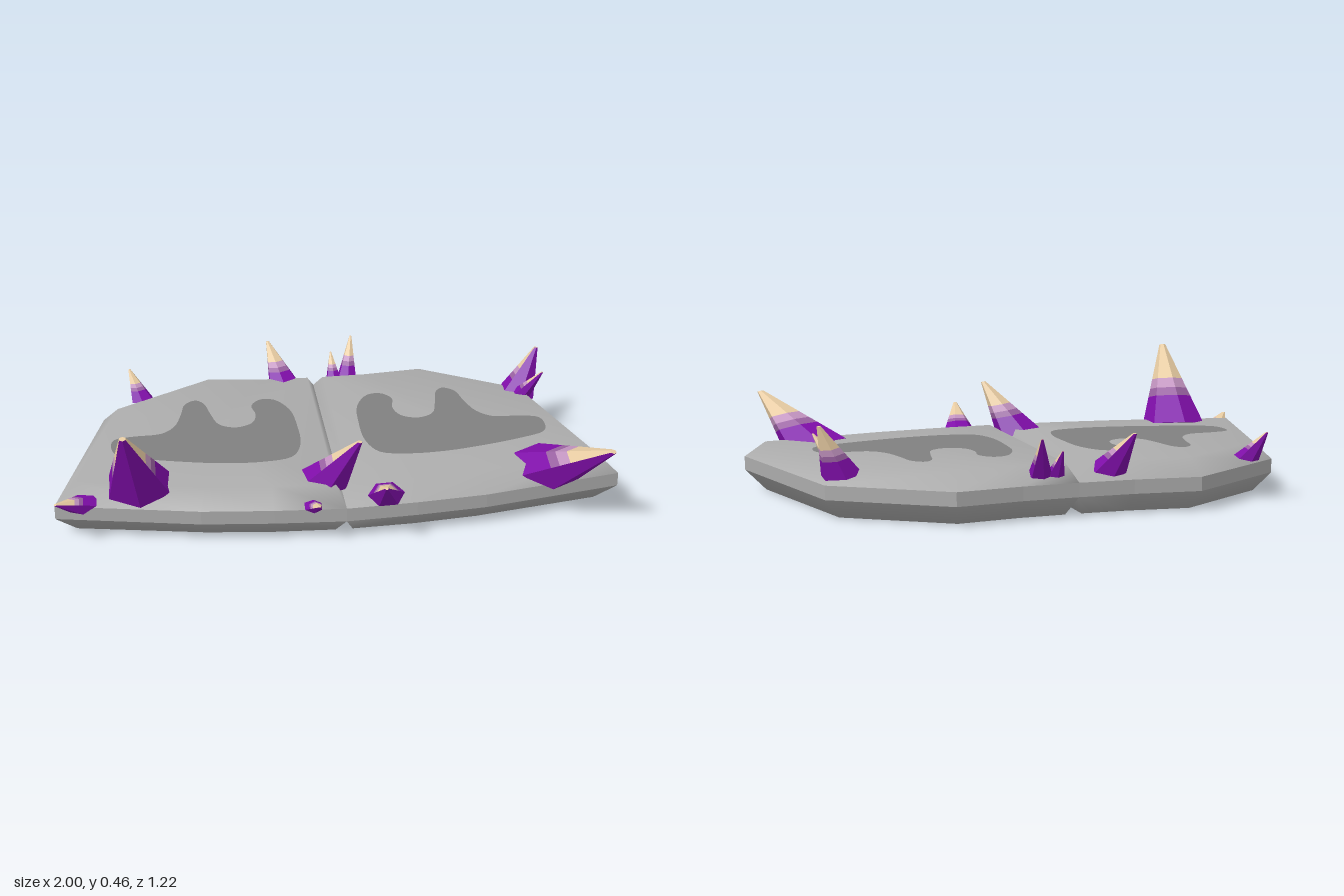
import * as THREE from 'three';
import { mergeGeometries } from 'three/addons/utils/BufferGeometryUtils.js';

const mat = (name, color) => {
  const m = new THREE.MeshStandardMaterial({ color });
  m.name = name;
  return m;
};

// Half outline of the slab (x, z), from front centre round to back centre
const RIM = [[0, 0.49], [0.25, 0.475], [0.5, 0.45], [1, 0.35], [0.83, -0.31], [0.44, -0.56], [0.2, -0.535], [0, -0.53]];
const INSET = [[0.03, 0.42], [0.25, 0.41], [0.48, 0.385], [0.93, 0.3], [0.775, -0.275], [0.42, -0.5], [0.2, -0.475], [0.03, -0.47]];
const N = RIM.length;

// Band between two rings, optionally closed by a fan at the top or bottom ring
function band(lower, yLow, upper, yUp, s, cap) {
  const pos = [], idx = [];
  const tri = (a, b, c) => (s > 0 ? idx.push(a, b, c) : idx.push(a, c, b));
  lower.forEach(([x, z]) => pos.push(x * s, yLow, z));
  upper.forEach(([x, z]) => pos.push(x * s, yUp, z));
  pos.push(0.45 * s, cap === 'top' ? yUp : yLow, -0.05);
  for (let i = 0; i < N; i++) {
    const j = (i + 1) % N;
    if (cap || j) {
      tri(i, j, N + j);
      tri(i, N + j, N + i);
    }
    if (cap === 'top') tri(N + i, N + j, 2 * N);
    if (cap === 'bottom') tri(j, i, 2 * N);
  }
  const g = new THREE.BufferGeometry();
  g.setAttribute('position', new THREE.Float32BufferAttribute(pos, 3));
  g.setIndex(idx);
  // Capped bands blend softly into the cap; the rim stays faceted
  if (cap) g.computeVertexNormals();
  const flat = g.toNonIndexed();
  if (!cap) flat.computeVertexNormals();
  return flat;
}

function slabHalf(s) {
  return mergeGeometries([
    band(INSET, 0, RIM, 0.07, s, 'bottom'),
    band(RIM, 0.07, RIM, 0.12, s),
    band(RIM, 0.12, INSET, 0.18, s, 'top'),
  ]);
}

// Dark inlay with finger-like lobes (x, z)
const INLAY = [
  [0.8, 0.06], [0.79, -0.01], [0.72, -0.03], [0.62, -0.04], [0.57, -0.09], [0.54, -0.19], [0.52, -0.28],
  [0.48, -0.31], [0.45, -0.28], [0.43, -0.19], [0.4, -0.09], [0.34, -0.06], [0.28, -0.09], [0.26, -0.16],
  [0.27, -0.24], [0.23, -0.29], [0.18, -0.28], [0.13, -0.19], [0.115, -0.05], [0.12, 0.11], [0.16, 0.2],
  [0.26, 0.225], [0.4, 0.22], [0.55, 0.19], [0.69, 0.15], [0.78, 0.11],
];

function inlayFace(s) {
  const curve = new THREE.CatmullRomCurve3(INLAY.map(([x, z]) => new THREE.Vector3(x * s, -z, 0)), true);
  const shape = new THREE.Shape(curve.getPoints(104).map((p) => new THREE.Vector2(p.x, p.y)));
  const g = new THREE.ShapeGeometry(shape);
  g.rotateX(-Math.PI / 2);
  g.translate(0, 0.182, 0);
  return g;
}

// Six-sided leaning crystal: plain on one side, colour bands on the other faces
const STEPS = [0, 0.34, 0.44, 0.56, 1];
function crystalGeometry(base, tip, radius, { spin = 0, plainSide = Math.sign(tip[2] - base[2]) } = {}) {
  const b = new THREE.Vector3(...base), t = new THREE.Vector3(...tip);
  const n = t.clone().sub(b).normalize().add(new THREE.Vector3(0, 2.2, 0)).normalize();
  const u = new THREE.Vector3(1, 0, 0);
  u.addScaledVector(n, -u.dot(n)).normalize();
  const v = u.clone().cross(n);
  const angle = (k) => (k * Math.PI) / 3 + spin;
  const point = (k, h) => {
    const r = radius * (1 - 0.9 * h);
    return b.clone().lerp(t, h).addScaledVector(u, r * Math.sin(angle(k))).addScaledVector(v, r * Math.cos(angle(k)));
  };
  const buckets = [[], [], [], []];
  const tri = (m, ...ps) => ps.forEach((p) => buckets[m].push(p.x, p.y, p.z));
  for (let k = 0; k < 6; k++) {
    const plain = Math.cos(angle(k + 0.5)) * plainSide > 0.4;
    for (let i = 0; i < 4; i++) {
      const m = plain ? 0 : i;
      const [p, q, r, w] = [point(k, STEPS[i]), point(k + 1, STEPS[i]), point(k + 1, STEPS[i + 1]), point(k, STEPS[i + 1])];
      tri(m, p, q, r);
      tri(m, p, r, w);
    }
    tri(3, point(k, 1), point(k + 1, 1), t);
    tri(0, point(k + 1, 0), point(k, 0), b);
  }
  const g = new THREE.BufferGeometry();
  g.setAttribute('position', new THREE.Float32BufferAttribute(buckets.flat(), 3));
  let start = 0;
  buckets.forEach((list, m) => {
    g.addGroup(start, list.length / 3, m);
    start += list.length / 3;
  });
  g.computeVertexNormals();
  return g;
}

// [base, tip, radius, options]
const CRYSTALS = [
  [[-0.705, 0.165, 0.315], [-0.75, 0.46, 0.54], 0.122],
  [[0.74, 0.15, 0.32], [0.9, 0.33, 0.58], 0.122],
  [[-0.9, 0.13, 0.36], [-0.99, 0.18, 0.45], 0.055],
  [[-0.065, 0.155, 0.335], [0.05, 0.35, 0.44], 0.09],
  [[-0.115, 0.13, 0.475], [-0.1, 0.17, 0.555], 0.034],
  [[0.142, 0.15, 0.455], [0.12, 0.25, 0.6], 0.065, { spin: Math.PI / 6 }],
  [[0.765, 0.15, -0.285], [0.85, 0.325, -0.33], 0.075, { plainSide: 1 }],
  [[0.77, 0.16, -0.25], [0.845, 0.28, -0.195], 0.04],
  [[-0.68, 0.15, -0.41], [-0.725, 0.25, -0.48], 0.045],
  [[-0.12, 0.15, -0.48], [-0.175, 0.29, -0.595], 0.066],
  [[0.08, 0.15, -0.51], [0.075, 0.24, -0.575], 0.032],
  [[0.13, 0.15, -0.5], [0.16, 0.29, -0.61], 0.042],
];

export function createModel() {
  const model = new THREE.Group();
  model.name = 'crystalSlab';
  const stone = mat('stone grey', 0xacacac);
  const dark = mat('dark stone', 0x808080);
  const bands = [mat('purple', 0x800eaa), mat('plum', 0x9a62a2), mat('mauve', 0xc294c0), mat('pale tan', 0xf2d5aa)];
  const add = (name, geometry, material) => {
    const mesh = new THREE.Mesh(geometry, material);
    mesh.name = name;
    model.add(mesh);
  };

  for (const s of [1, -1]) {
    const sideName = s > 0 ? 'left' : 'right';
    add(sideName + 'Slab', slabHalf(s), stone);
    add(sideName + 'Inlay', inlayFace(s), dark);
  }
  CRYSTALS.forEach(([base, tip, r, options], i) => {
    add('crystal' + (i + 1), crystalGeometry(base, tip, r, options), bands);
  });
  return model;
}
